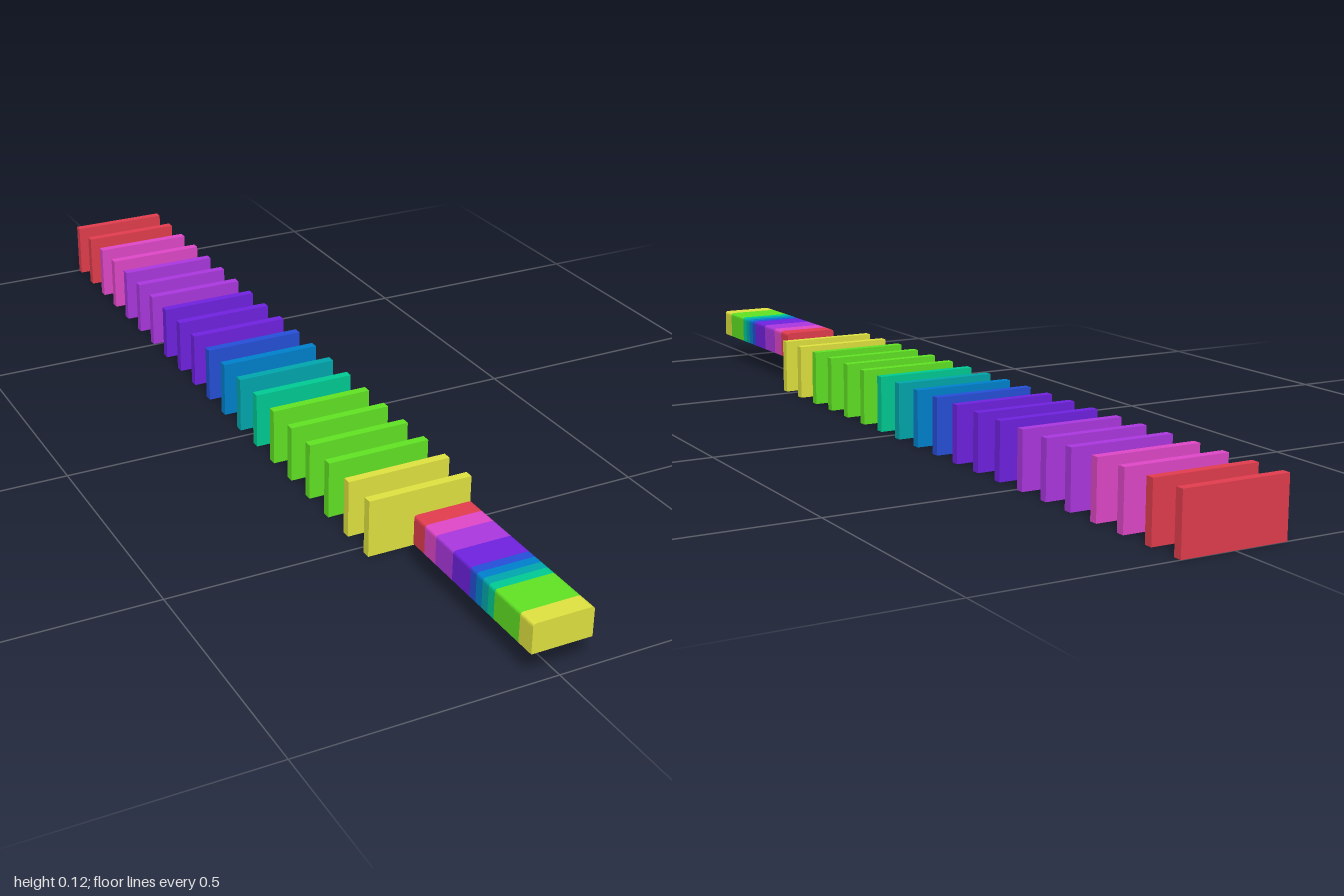
import * as THREE from 'three';

// Colour name, hex, and how many steps of the sequence it covers
const BANDS = [
  ['yellow', 0xe1e440, 2],
  ['green', 0x61e424, 4],
  ['emerald', 0x00cc94, 1],
  ['teal', 0x00a8ae, 1],
  ['blue', 0x0082cf, 1],
  ['royalBlue', 0x2650da, 1],
  ['indigo', 0x7022e1, 3],
  ['purple', 0xac38e1, 3],
  ['magenta', 0xe148ca, 2],
  ['red', 0xe43e4e, 2],
];

const STEPS = 20;
const PANEL = { width: 0.216, height: 0.117, depth: 0.018, firstZ: 0.526, lastZ: -0.991 };
const BAR = { half: 0.06, bottom: 0.059, top: 0.118, front: 1, back: 0.615, corner: 0.007 };

// Bar cross-section with softly rounded upper corners
function barShape() {
  const { half: h, bottom: b, top: t, corner: r } = BAR;
  const s = new THREE.Shape();
  s.moveTo(-h, b);
  s.lineTo(h, b);
  s.lineTo(h, t - r);
  s.quadraticCurveTo(h, t, h - r, t);
  s.lineTo(-h + r, t);
  s.quadraticCurveTo(-h, t, -h, t - r);
  s.closePath();
  return s;
}

export function createModel() {
  const model = new THREE.Group();
  model.name = 'rainbowPanelRow';
  const bar = new THREE.Group();
  bar.name = 'stripedBar';
  const panels = new THREE.Group();
  panels.name = 'panels';
  model.add(bar, panels);

  const panelGeometry = new THREE.BoxGeometry(PANEL.width, PANEL.height, PANEL.depth);
  const shape = barShape();
  const cell = (BAR.front - BAR.back) / STEPS;
  const spacing = (PANEL.firstZ - PANEL.lastZ) / (STEPS - 1);

  let step = 0;
  for (const [name, color, count] of BANDS) {
    const material = new THREE.MeshStandardMaterial({ color });
    material.name = name;

    // One stripe of the bar
    const stripe = new THREE.Mesh(
      new THREE.ExtrudeGeometry(shape, { depth: cell * count, bevelEnabled: false, curveSegments: 4 }),
      material
    );
    stripe.name = `${name}Stripe`;
    stripe.position.z = BAR.front - (step + count) * cell;
    bar.add(stripe);

    // Matching upright panels behind the bar
    for (let i = 0; i < count; i++, step++) {
      const panel = new THREE.Mesh(panelGeometry, material);
      panel.name = `${name}Panel${i + 1}`;
      panel.position.set(0, PANEL.height / 2, PANEL.firstZ - step * spacing);
      panels.add(panel);
    }
  }
  return model;
}
